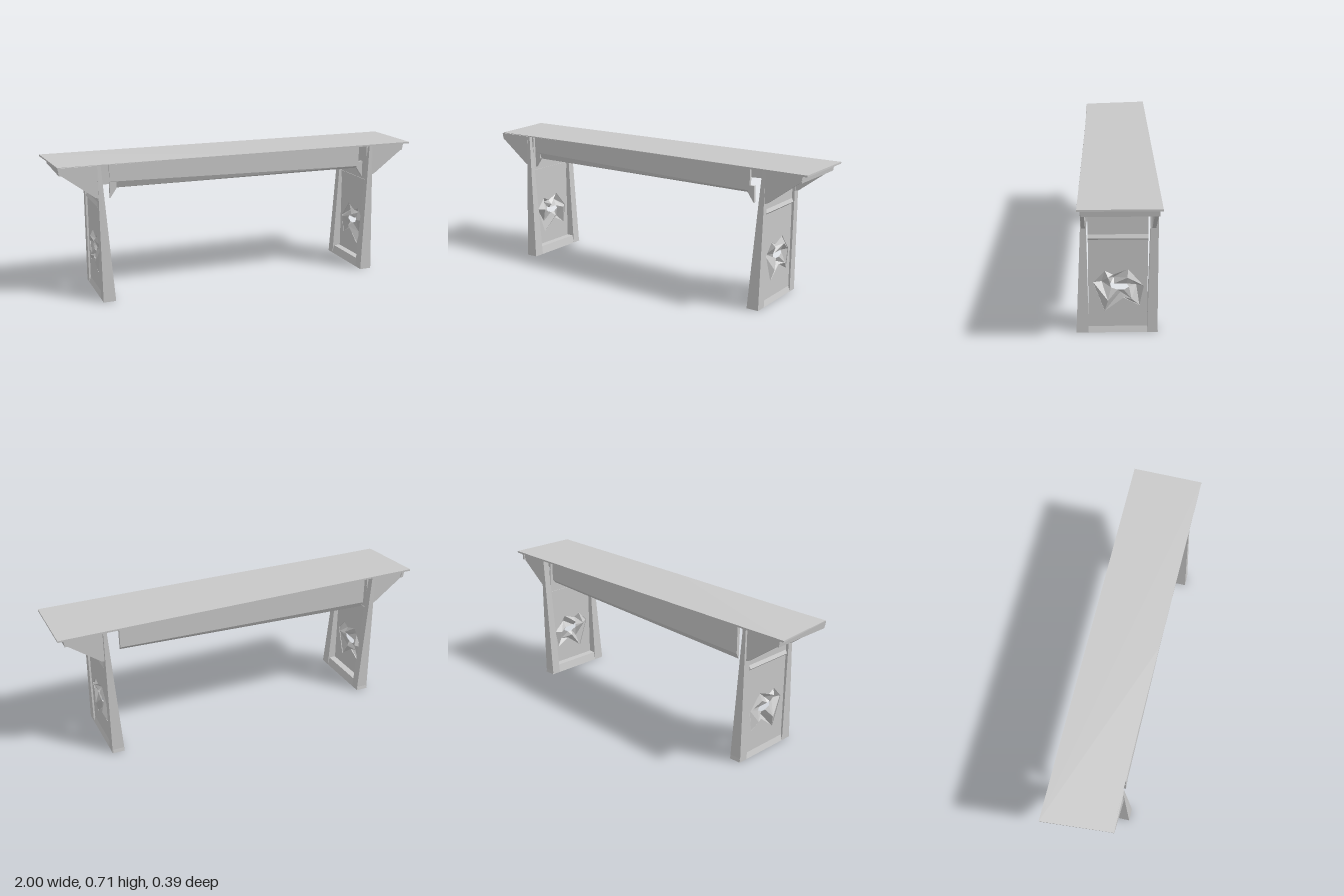
import * as THREE from 'three';
import { ConvexGeometry } from 'three/addons/geometries/ConvexGeometry.js';

const grey = new THREE.MeshStandardMaterial({ color: 0xc8c8c8 });
grey.name = 'pale grey';
const greyThin = grey;
greyThin.side = THREE.DoubleSide;

// Faceted solid spanning a few corner points [x, y, z]
function solid(name, points) {
  const mesh = new THREE.Mesh(new ConvexGeometry(points.map(p => new THREE.Vector3(...p))), grey);
  mesh.name = name;
  return mesh;
}

// Profile in x and y stretched between two z positions
function slab(name, profile, z0, z1) {
  return solid(name, profile.flatMap(([x, y]) => [[x, y, z0], [x, y, z1]]));
}

// Outline of the carving, its raised ridge and its opening: [across, up]
const rim = [[-0.115, 0.26], [-0.06, 0.32], [-0.02, 0.3], [0.05, 0.328], [0.125, 0.24], [0.105, 0.14], [0.03, 0.18], [-0.06, 0.11]];
const opening = [[-0.035, 0.25], [-0.03, 0.26], [-0.015, 0.253], [0.045, 0.252], [0.055, 0.235], [0.03, 0.22], [0, 0.22], [-0.03, 0.232]];

function carving(side) {
  const rings = [rim, rim.map((p, i) => p.map((v, k) => (v + opening[i][k]) / 2)), opening];
  const at = (r, i) => {
    const [u, y] = rings[r][i % 8];
    const lift = r === 1 ? (i % 2 ? 0.018 : -0.022) : 0;
    return [side * (0.762 + lift), y, -u];
  };
  const pos = [];
  for (let r = 0; r < 2; r++) {
    for (let i = 0; i < 8; i++) {
      const a = at(r, i), b = at(r, i + 1), c = at(r + 1, i + 1), d = at(r + 1, i);
      const quad = side > 0 ? [a, d, b, b, d, c] : [a, b, d, b, c, d];
      pos.push(...quad.flat());
    }
  }
  const geo = new THREE.BufferGeometry();
  geo.setAttribute('position', new THREE.Float32BufferAttribute(pos, 3));
  geo.computeVertexNormals();
  const mesh = new THREE.Mesh(geo, greyThin);
  mesh.name = 'carving';
  return mesh;
}

function endFrame(side) {
  const g = new THREE.Group();
  g.name = side > 0 ? 'leftEndFrame' : 'rightEndFrame';
  const mir = pts => pts.map(([x, ...rest]) => [side * x, ...rest]);

  // Tapering legs: [bottom inner z, bottom outer z, top inner z, top outer z]
  for (const [name, a, b, c, d] of [['frontLeg', 0.138, 0.197, 0.148, 0.166], ['backLeg', -0.143, -0.193, -0.156, -0.19]]) {
    g.add(solid(name, mir([
      [0.71, 0, a], [0.775, 0, a], [0.71, 0, b], [0.775, 0, b],
      [0.757, 0.706, c], [0.775, 0.706, c], [0.757, 0.706, d], [0.775, 0.706, d]])));
  }

  // Bevelled foot rail
  g.add(solid('footRail', mir([
    [0.71, 0, 0.197], [0.775, 0, 0.197], [0.71, 0, -0.196], [0.775, 0, -0.196],
    [0.72, 0.045, 0.14], [0.76, 0.045, 0.14], [0.72, 0.045, -0.189], [0.76, 0.045, -0.189]])));

  // Cross rails with sloping undersides
  g.add(slab('middleRail', mir([[0.755, 0.467], [0.775, 0.487], [0.766, 0.505], [0.755, 0.505]]), -0.143, 0.138));
  g.add(slab('topRail', mir([[0.755, 0.637], [0.775, 0.667], [0.775, 0.706], [0.755, 0.706]]), -0.143, 0.138));

  // Panel pierced by the carving
  const shape = new THREE.Shape([[-0.138, 0.03], [0.143, 0.03], [0.143, 0.69], [-0.138, 0.69]].map(p => new THREE.Vector2(...p)));
  shape.holes.push(new THREE.Path(rim.map(p => new THREE.Vector2(...p))));
  const geo = new THREE.ExtrudeGeometry(shape, { depth: 0.008, bevelEnabled: false });
  geo.rotateY(Math.PI / 2).translate(side * 0.762 - 0.004, 0, 0);
  const panel = new THREE.Mesh(geo, grey);
  panel.name = 'panel';
  g.add(panel, carving(side));

  // Brackets and end board below the overhanging top
  const wing = mir([[0.775, 0.706], [0.97, 0.706], [0.965, 0.675], [0.81, 0.6], [0.79, 0.545], [0.775, 0.54]]);
  g.add(slab('frontBracket', wing, 0.15, 0.168));
  g.add(slab('backBracket', wing, -0.178, -0.16));
  g.add(slab('endBoard', mir([[0.97, 0.706], [0.955, 0.706], [0.965, 0.667], [0.95, 0.667]]), -0.183, 0.165));
  return g;
}

export function createModel() {
  const model = new THREE.Group();
  model.name = 'altarTable';

  // Thin top with one skewed corner
  const outline = [[-1, -0.195], [1, -0.195], [1, 0.182], [0, 0.17], [-0.97, 0.16]];
  model.add(solid('tableTop', outline.flatMap(([x, z], i) => [[x, i === 4 ? 0.708 : 0.713, z], [x, 0.704, z]])));

  // Long aprons, deeper toward one end, with a bevelled lower edge
  model.add(solid('frontApron', [
    [-0.715, 0.706, 0.15], [-0.715, 0.706, 0.166], [0.69, 0.706, 0.15], [0.69, 0.706, 0.166],
    [-0.715, 0.62, 0.166], [-0.69, 0.585, 0.152], [0.69, 0.595, 0.166], [0.69, 0.583, 0.152]]));
  model.add(solid('backApron', [
    [-0.715, 0.706, -0.16], [-0.715, 0.706, -0.178], [0.69, 0.706, -0.16], [0.69, 0.706, -0.178],
    [-0.715, 0.56, -0.178], [-0.715, 0.53, -0.162], [0.69, 0.6, -0.178], [0.69, 0.583, -0.162]]));

  // Small corner brackets on the inner side of the legs
  for (const s of [1, -1]) {
    model.add(slab('innerBracket', [[s * 0.715, 0.62], [s * 0.715, 0.535], [s * 0.68, 0.585], [s * 0.68, 0.62]], 0.15, 0.165));
    model.add(endFrame(s));
  }
  return model;
}
